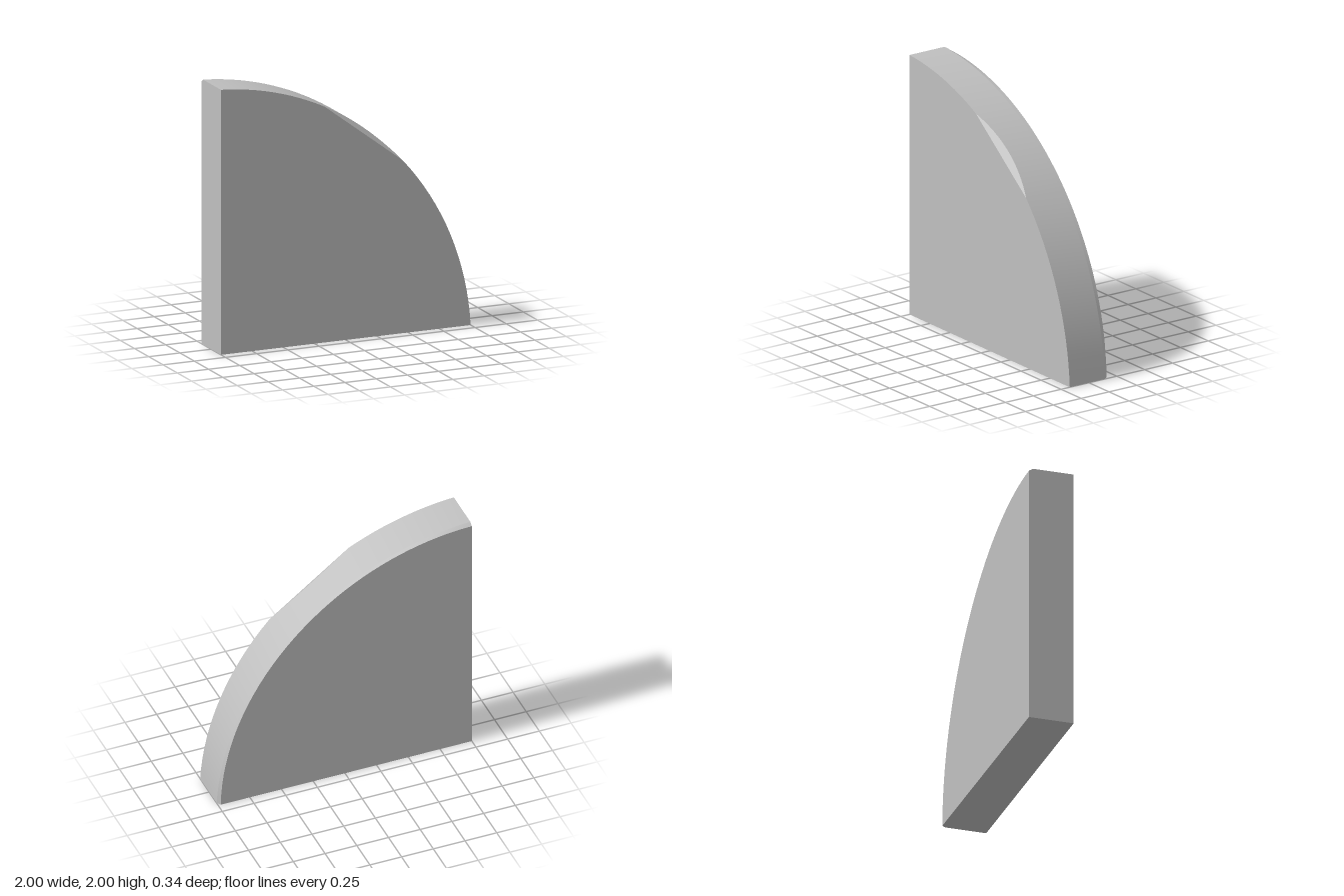
import * as THREE from 'three';

const Z = 0.172;                 // half thickness
const R = 2.12, C = -0.117;      // arc radius and centre offset from the corner
const rad = THREE.MathUtils.degToRad;
const A0 = Math.atan2(-C, 2 - C), A1 = Math.PI / 2 - A0;
const CUT0 = rad(42.1), CUT1 = rad(63.5);   // angular range of the front cut
const CUT_DEPTH = 0.05, BEVEL = 0.03;

function toGeometry(points, index) {
  const g = new THREE.BufferGeometry().setFromPoints(points);
  g.setIndex(index);
  g.computeVertexNormals();
  return g;
}

// Flat cap fanned from its first point
function fan(points) {
  const index = [];
  for (let i = 1; i < points.length - 1; i++) index.push(0, i, i + 1);
  return toGeometry(points, index);
}

// Smooth band between two rows of equal length
function strip(a, b) {
  const n = a.length, index = [];
  for (let i = 0; i < n - 1; i++) {
    index.push(i, n + i, i + 1, i + 1, n + i, n + i + 1);
  }
  return toGeometry([...a, ...b], index);
}

// Evenly spaced angles, without the end value
function range(from, to, n) {
  return Array.from({ length: n }, (_, i) => from + (to - from) * i / n);
}

export function createModel() {
  const group = new THREE.Group();
  const grey = new THREE.MeshStandardMaterial({ color: 0xc0c0c0 });
  grey.name = 'light grey';
  const add = (name, geometry) => {
    const mesh = new THREE.Mesh(geometry, grey);
    mesh.name = name;
    group.add(mesh);
  };

  const angles = [...range(A0, CUT0, 16), ...range(CUT0, CUT1, 16), ...range(CUT1, A1, 12), A1];
  const mid = (CUT0 + CUT1) / 2, half = (CUT1 - CUT0) / 2;
  const chord = R * Math.cos(half), sagitta = R - chord;
  const front = [], rimFront = [], rimBack = [], back = [];

  for (const a of angles) {
    const inCut = a > CUT0 && a < CUT1;
    const polar = (r, z) => new THREE.Vector3(-1 + C + r * Math.cos(a), C + r * Math.sin(a), z);
    // Front edge follows the chord, the slanted cut lowers the rim edge
    const across = Math.cos(a - mid);
    front.push(polar(inCut ? chord / across : R, Z));
    rimFront.push(polar(R, inCut ? Z - CUT_DEPTH * (R * across - chord) / sagitta : Z));
    rimBack.push(polar(R, -Z + BEVEL));
    // Back bevel fades out toward the middle of the arc
    const t = (a - A0) / (A1 - A0);
    const s = 1 - 0.01 * Math.abs(2 * t - 1) ** 3;
    const p = polar(R, -Z);
    back.push(p.set(-1 + (p.x + 1) * s, p.y * s, -Z));
  }

  const cornerFront = new THREE.Vector3(-1, 0, Z);
  const cornerBack = new THREE.Vector3(-1, 0, -Z);
  const last = angles.length - 1;

  add('frontFace', fan([cornerFront, ...front]));
  add('backFace', fan([cornerBack, ...back.slice().reverse()]));
  add('curvedRim', strip(rimFront, rimBack));
  add('backBevel', strip(rimBack, back));
  add('frontCut', strip(front.slice(16, 33), rimFront.slice(16, 33)));
  add('bottomFace', fan([cornerFront, cornerBack, back[0], rimBack[0], rimFront[0]]));
  add('sideFace', fan([cornerFront, rimFront[last], rimBack[last], back[last], cornerBack]));
  return group;
}
